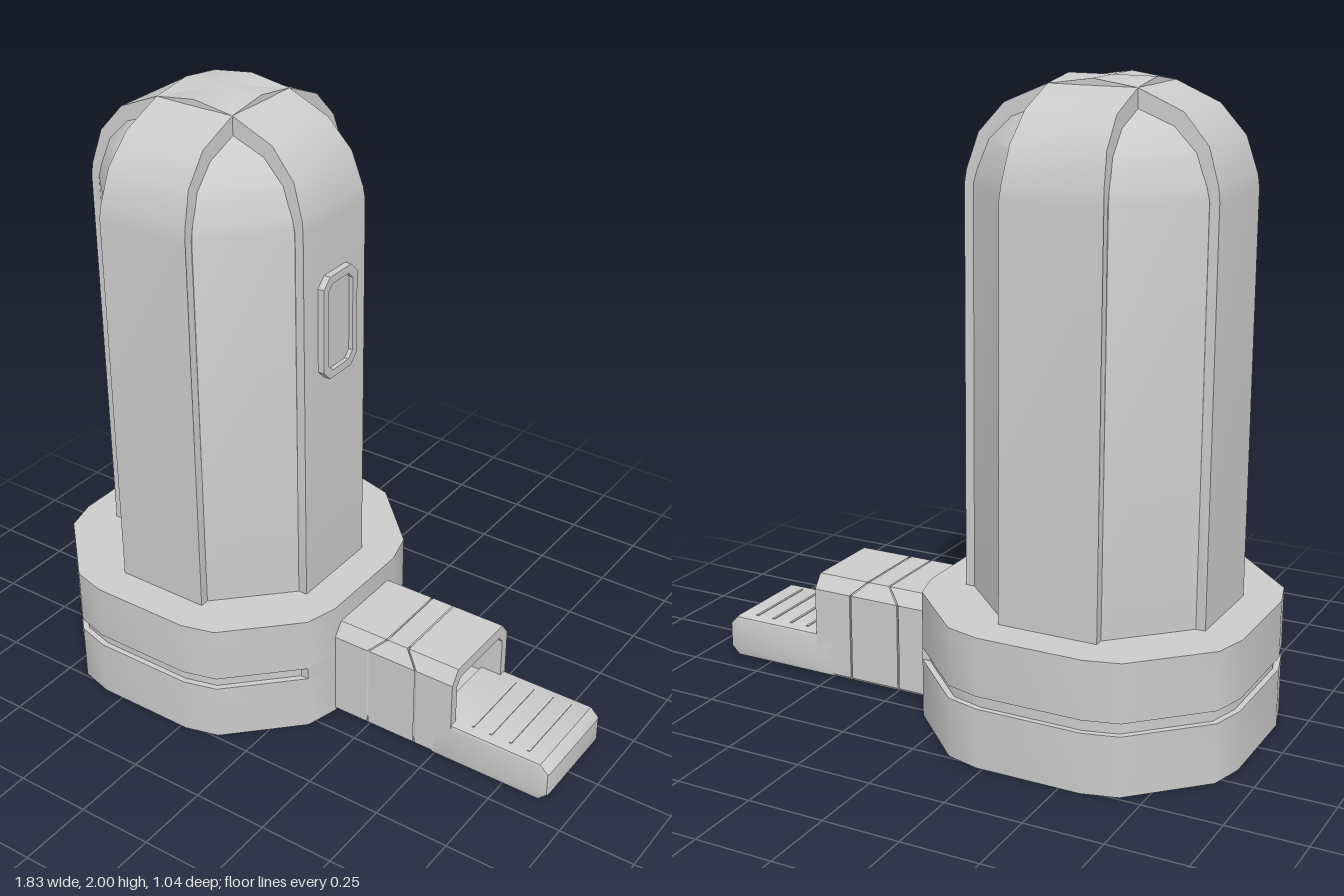
import * as THREE from 'three';
import { toCreasedNormals } from 'three/addons/utils/BufferGeometryUtils.js';

const material = new THREE.MeshStandardMaterial({ color: 0xcccccc });
const CX = -0.4; // tower axis
const clamp = (v) => Math.min(1, Math.max(0, v));

function add(group, name, geometry, crease = 0.6) {
  const mesh = new THREE.Mesh(toCreasedNormals(geometry, crease), material);
  mesh.name = name;
  group.add(mesh);
  return mesh;
}

const toPoints = (pts) => pts.map(([x, y]) => new THREE.Vector2(x, y));

function prism(pts, depth, hole, options = {}) {
  const shape = new THREE.Shape(toPoints(pts));
  if (hole) shape.holes.push(new THREE.Path(toPoints(hole)));
  return new THREE.ExtrudeGeometry(shape, { depth, bevelEnabled: false, ...options });
}

function bend(geometry, rule) {
  const p = geometry.attributes.position;
  const v = new THREE.Vector3();
  for (let i = 0; i < p.count; i++) {
    rule(v.fromBufferAttribute(p, i));
    p.setXYZ(i, v.x, v.y, v.z);
  }
  return geometry;
}

// Half-width of the crossing bands, narrowing over the dome
const bandWidth = (y) => 0.16 - 0.02 * clamp((y - 1.68) / 0.24);

// Core between the bands: octagonal rings closing into a dome
function coreGeometry() {
  const rings = [[0.37, 0.4], [0.37, 1.68], [0.36, 1.72], [0.325, 1.81], [0.255, 1.88], [0.14, 1.925]];
  const position = [], index = [];
  for (const [r, y] of rings) {
    const w = bandWidth(y);
    for (const [x, z] of [[r, w], [w, r], [-w, r], [-r, w], [-r, -w], [-w, -r], [w, -r], [r, -w]]) position.push(x, y, z);
  }
  for (let k = 0; k < rings.length - 1; k++) {
    for (let i = 0; i < 8; i++) {
      const a = k * 8 + i, b = k * 8 + (i + 1) % 8;
      index.push(a, a + 8, b, b, a + 8, b + 8);
    }
  }
  const g = new THREE.BufferGeometry();
  g.setAttribute('position', new THREE.Float32BufferAttribute(position, 3));
  g.setIndex(index);
  return g;
}

// Arched band running up one side, over the top and down the other
function bandGeometry() {
  const half = [[0.4, 0.4], [0.4, 1.68], [0.395, 1.72], [0.36, 1.83], [0.28, 1.92], [0.14, 1.98]];
  const mirrored = half.map(([x, y]) => [-x, y]).reverse();
  const outer = [...half, [0, 2], ...mirrored];
  const inner = outer.map(([x, y]) => [x * 0.8, 0.4 + (y - 0.4) * 0.93]).reverse();
  const g = prism([...outer, ...inner], 2).translate(0, 0, -1);
  return bend(g, (v) => { v.z *= bandWidth(v.y); });
}

function rect8(w, h, c) {
  return [[w, -h + c], [w, h - c], [w - c, h], [-w + c, h], [-w, h - c], [-w, -h + c], [-w + c, -h], [w - c, -h]];
}

function buildTower() {
  const tower = new THREE.Group();
  tower.name = 'tower';
  add(tower, 'towerCore', coreGeometry());
  add(tower, 'sideBand', bandGeometry());
  add(tower, 'frontBackBand', bandGeometry()).rotation.y = Math.PI / 2;
  // Framed window on the +x side
  const frame = prism(rect8(0.088, 0.172, 0.032), 0.03, rect8(0.064, 0.146, 0.022));
  add(tower, 'windowFrame', frame.rotateY(Math.PI / 2).translate(0.392, 1.34, 0));
  const pane = prism(rect8(0.07, 0.152, 0.022), 0.02);
  add(tower, 'windowPane', pane.rotateY(Math.PI / 2).translate(0.388, 1.34, 0));
  tower.position.x = CX;
  return tower;
}

function buildBase() {
  const base = new THREE.Group();
  base.name = 'base';
  const quarter = [[0.52, 0.17], [0.49, 0.28], [0.28, 0.49], [0.17, 0.52]];
  const outline = [];
  for (let q = 0, c = 1, s = 0; q < 4; q++, [c, s] = [-s, c]) {
    for (const [x, y] of quarter) outline.push([x * c - y * s, x * s + y * c]);
  }
  const slab = (name, pts, y0, y1) =>
    add(base, name, prism(pts, y1 - y0).rotateX(-Math.PI / 2).translate(0, y0, 0));
  slab('lowerBase', outline, 0, 0.19);
  slab('grooveCore', outline.map(([x, y]) => [x * 0.965, y * 0.965]), 0.18, 0.24);
  slab('upperBase', outline, 0.23, 0.415);
  // The groove stops on either side of the arm
  slab('grooveStop', [[0.3, -0.28], [0.49, -0.28], [0.52, -0.17], [0.52, 0.17], [0.49, 0.28], [0.3, 0.28]], 0.185, 0.235);
  base.position.x = CX;
  return base;
}

function buildArm() {
  const arm = new THREE.Group();
  arm.name = 'arm';
  const profile = (w, top, c) => [[w - 0.012, 0], [w, 0.012], [w, top - c], [w - c * 0.75, top],
    [-w + c * 0.75, top], [-w, top - c], [-w, 0.012], [-w + 0.012, 0]];
  const hollow = [[-0.14, 0.13], [0.14, 0.13], [0.14, 0.28], [0.12, 0.305], [-0.12, 0.305], [-0.14, 0.28]];
  // Housing sections divided by seams that slant across the top edges
  const sections = [
    ['housingRoot', 0.05, 0.243, 0, 0.05, null],
    ['housingMiddle', 0.249, 0.422, 0.05, -0.05, null],
    ['housingMouth', 0.428, 0.56, -0.05, 0, hollow],
  ];
  for (const [name, x0, x1, lean0, lean1, hole] of sections) {
    const g = prism(profile(0.17, 0.345, 0.045), x1 - x0, hole).rotateY(Math.PI / 2).translate(x0, 0, 0);
    const mid = (x0 + x1) / 2;
    add(arm, name, bend(g, (v) => { v.x += (v.x < mid ? lean0 : lean1) * clamp((v.y - 0.3) / 0.045); }), 0.5);
  }
  add(arm, 'housingLiner', prism(profile(0.164, 0.339, 0.045), 0.4, hollow).rotateY(Math.PI / 2).translate(0.12, 0, 0), 0.5);
  // Low foot plate with cross ribs
  const b = 0.012;
  const side = [[0.5, b], [0.875, b], [0.898, 0.035], [0.898, 0.108], [0.875, 0.131], [0.5, 0.131]];
  const plate = prism(side, 0.34 - 2 * b, null,
    { bevelEnabled: true, bevelSize: b, bevelThickness: b, bevelSegments: 2 });
  add(arm, 'footPlate', plate.translate(0, 0, -0.17 + b), 0.5);
  for (const x of [0.62, 0.685, 0.755, 0.82]) {
    add(arm, 'footRib', new THREE.BoxGeometry(0.008, 0.008, 0.27).translate(x, 0.142, 0));
  }
  return arm;
}

export function createModel() {
  const model = new THREE.Group();
  model.name = 'capsuleTower';
  model.add(buildBase(), buildTower(), buildArm());
  return model;
}
